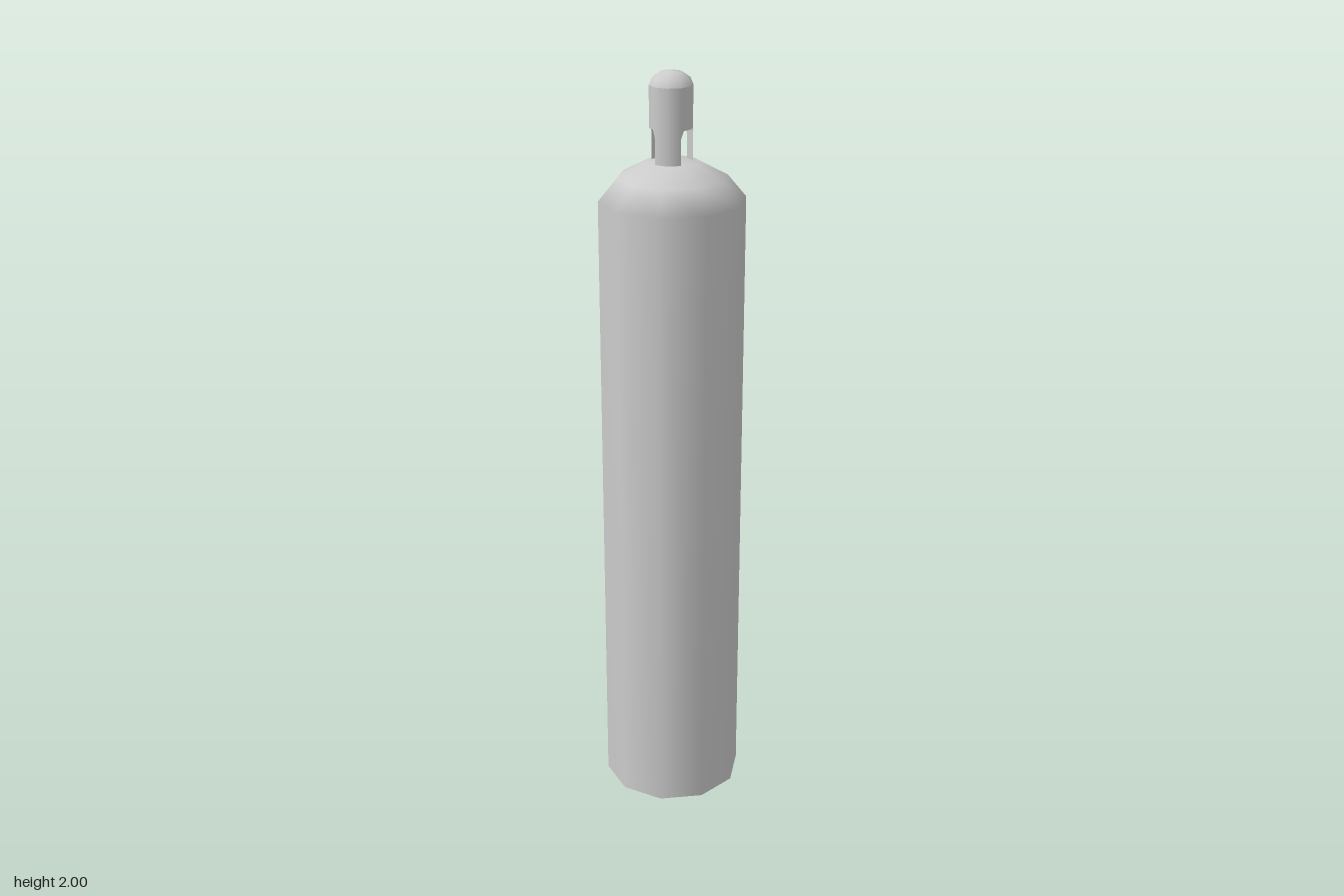
import * as THREE from 'three';

const SIDES = 10;
const STEP = (Math.PI * 2) / SIDES;
const BODY_R = 0.188, BODY_TOP = 1.775;
const CAP_R = 0.055, WALL_TOP = 1.965;

const lathe = (points) => new THREE.LatheGeometry(
  points.map(([r, y]) => new THREE.Vector2(r, y)), SIDES, Math.PI / 2);

// Ten-sided cap wall standing on three legs, with an arched window between each pair
function capWallGeometry() {
  const legFacets = [2, 3, 6, 9];
  const openFirst = [0, 4, 7];           // first facet of each two-facet window
  const edgeY = 1.84, archY = 1.86, flare = 0.3;
  const pos = [], nor = [];

  const strip = (facet, t0, t1, y0, y1) => {
    const a = facet * STEP, b = a + STEP;
    const at = (t) => [
      THREE.MathUtils.lerp(Math.cos(a), Math.cos(b), t),
      THREE.MathUtils.lerp(Math.sin(a), Math.sin(b), t)];
    const p = at(t0), q = at(t1);
    const corners = [[q, y1], [p, y0], [p, WALL_TOP], [q, y1], [p, WALL_TOP], [q, WALL_TOP]];
    for (const [[x, z], y] of corners) {
      const len = Math.hypot(x, z);
      pos.push(x * CAP_R, y, z * CAP_R);
      nor.push(x / len, 0, z / len);
    }
  };

  for (let i = 0; i < SIDES; i++) {
    if (legFacets.includes(i)) {
      strip(i, 0, 1, BODY_TOP, BODY_TOP);
    } else if (openFirst.includes(i)) {
      strip(i, 0, flare, edgeY, archY);
      strip(i, flare, 1, archY, archY);
    } else {
      strip(i, 0, 1 - flare, archY, archY);
      strip(i, 1 - flare, 1, archY, edgeY);
    }
  }
  const g = new THREE.BufferGeometry();
  g.setAttribute('position', new THREE.Float32BufferAttribute(pos, 3));
  g.setAttribute('normal', new THREE.Float32BufferAttribute(nor, 3));
  return g;
}

export function createModel() {
  const group = new THREE.Group();
  group.name = 'gasCylinder';
  const grey = new THREE.MeshStandardMaterial({ color: 0xcccccc });
  const greyThin = new THREE.MeshStandardMaterial({ color: 0xcccccc, side: THREE.DoubleSide });

  const add = (parent, name, geometry, material) => {
    const mesh = new THREE.Mesh(geometry, material);
    mesh.name = name;
    parent.add(mesh);
    return mesh;
  };

  // Tank: straight wall, rounded shoulder and flat top
  add(group, 'tankBody', lathe([
    [BODY_R, 0], [BODY_R, 1.68], [0.14, 1.738], [0.07, BODY_TOP], [0, BODY_TOP],
  ]), grey);

  // Flat base
  add(group, 'tankBase', new THREE.CircleGeometry(BODY_R, SIDES).rotateX(Math.PI / 2), grey);

  // Valve guard, slightly off centre
  const guard = new THREE.Group();
  guard.name = 'valveGuard';
  guard.position.set(-0.003, 0, -0.003);
  group.add(guard);
  add(guard, 'guardWall', capWallGeometry(), greyThin);
  add(guard, 'guardDome', lathe([
    [CAP_R, WALL_TOP], [0.048, 1.982], [0.028, 1.996], [0, 2],
  ]), greyThin);

  return group;
}
